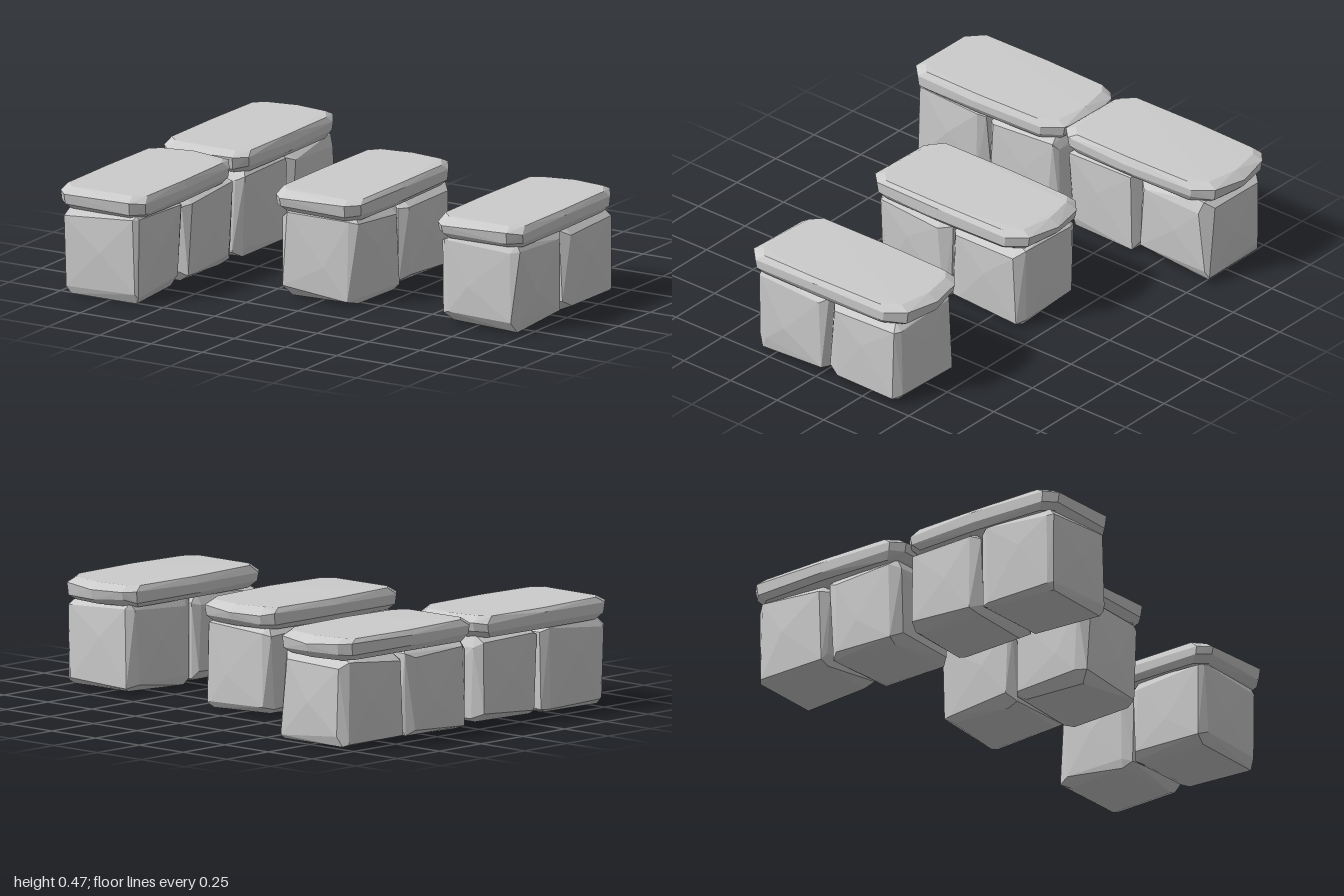
import * as THREE from 'three';
import { ConvexGeometry } from 'three/addons/geometries/ConvexGeometry.js';

const stone = new THREE.MeshStandardMaterial({ color: 0xcccccc, flatShading: true });

// Small seeded generator, returns -1..1
function seeded(seed) {
  let s = seed * 7919 + 17;
  return () => {
    s = (s * 16807) % 2147483647;
    return (s / 2147483647) * 2 - 1;
  };
}

function hull(name, points) {
  const mesh = new THREE.Mesh(new ConvexGeometry(points), stone);
  mesh.name = name;
  return mesh;
}

// Rough cube: three points per corner give uneven bevels, face centres bulge slightly
function makeBlock(seed, hx, hy, hz) {
  const rnd = seeded(seed);
  const half = [hx, hy, hz];
  const points = [];
  for (const sx of [-1, 1]) for (const sy of [-1, 1]) for (const sz of [-1, 1]) {
    const sign = [sx, sy, sz];
    for (let axis = 0; axis < 3; axis++) {
      const p = sign.map((s, i) => {
        const inset = i === axis ? 0.008 + 0.006 * rnd() : 0.04 + 0.02 * rnd();
        return s * (half[i] - inset);
      });
      points.push(new THREE.Vector3(...p));
    }
  }
  for (const s of [-1, 1]) {
    points.push(new THREE.Vector3(s * hx, 0.05 * rnd(), 0.06 * rnd()));
    points.push(new THREE.Vector3(0.05 * rnd(), 0.05 * rnd(), s * hz));
  }
  points.push(new THREE.Vector3(0.05 * rnd(), -hy, 0.05 * rnd()));
  return hull('supportBlock', points);
}

// Chipped slab: one outline with a peaked back end, stacked in four levels
function makeSlab(seed, hl) {
  const rnd = seeded(seed);
  const outline = [
    [-0.16, hl], [0.155, hl], [0.205, hl - 0.05], [0.213, 0.05],
    [0.205, -hl + 0.11], [0.15, -hl + 0.025], [-0.01, -hl],
    [-0.16, -hl + 0.03], [-0.205, -hl + 0.07], [-0.215, 0], [-0.207, hl - 0.05],
  ];
  // height, inset of the sides, inset of the ends
  const levels = [[0.374, 0.022, 0.04], [0.4, 0.002, 0.008], [0.44, 0, 0], [0.465, 0.014, 0.045]];
  const points = [];
  levels.forEach(([y, ix, iz], k) => {
    const jitter = k === 1 || k === 2 ? 0.008 : 0.002;
    for (const [x, z] of outline) {
      points.push(new THREE.Vector3(
        x * (1 - ix / 0.215),
        y + jitter * rnd(),
        z * (1 - iz / hl) + (k === 0 ? 0.004 * rnd() : 0)));
    }
  });
  return hull('seatSlab', points);
}

function makeBench(name, seed, x, z, hl) {
  const bench = new THREE.Group();
  bench.name = name;
  bench.position.set(x, 0, z);
  const hz = 0.195;
  for (const s of [-1, 1]) {
    const block = makeBlock(seed * 5 + s, 0.193, 0.194, hz);
    block.position.set(0, 0.198, s * 0.193 + 0.008);
    bench.add(block);
  }
  bench.add(makeSlab(seed + 40, hl));
  return bench;
}

export function createModel() {
  const model = new THREE.Group();
  model.name = 'stoneBenches';
  model.add(
    makeBench('rightFrontBench', 1, -0.785, 0.402, 0.41),
    makeBench('rightBackBench', 2, -0.783, -0.408, 0.412),
    makeBench('middleBench', 3, -0.003, -0.042, 0.425),
    makeBench('leftBench', 4, 0.785, -0.042, 0.425),
  );
  // Right back slab sits slightly higher
  model.children[1].children[2].position.y = 0.006;
  return model;
}
